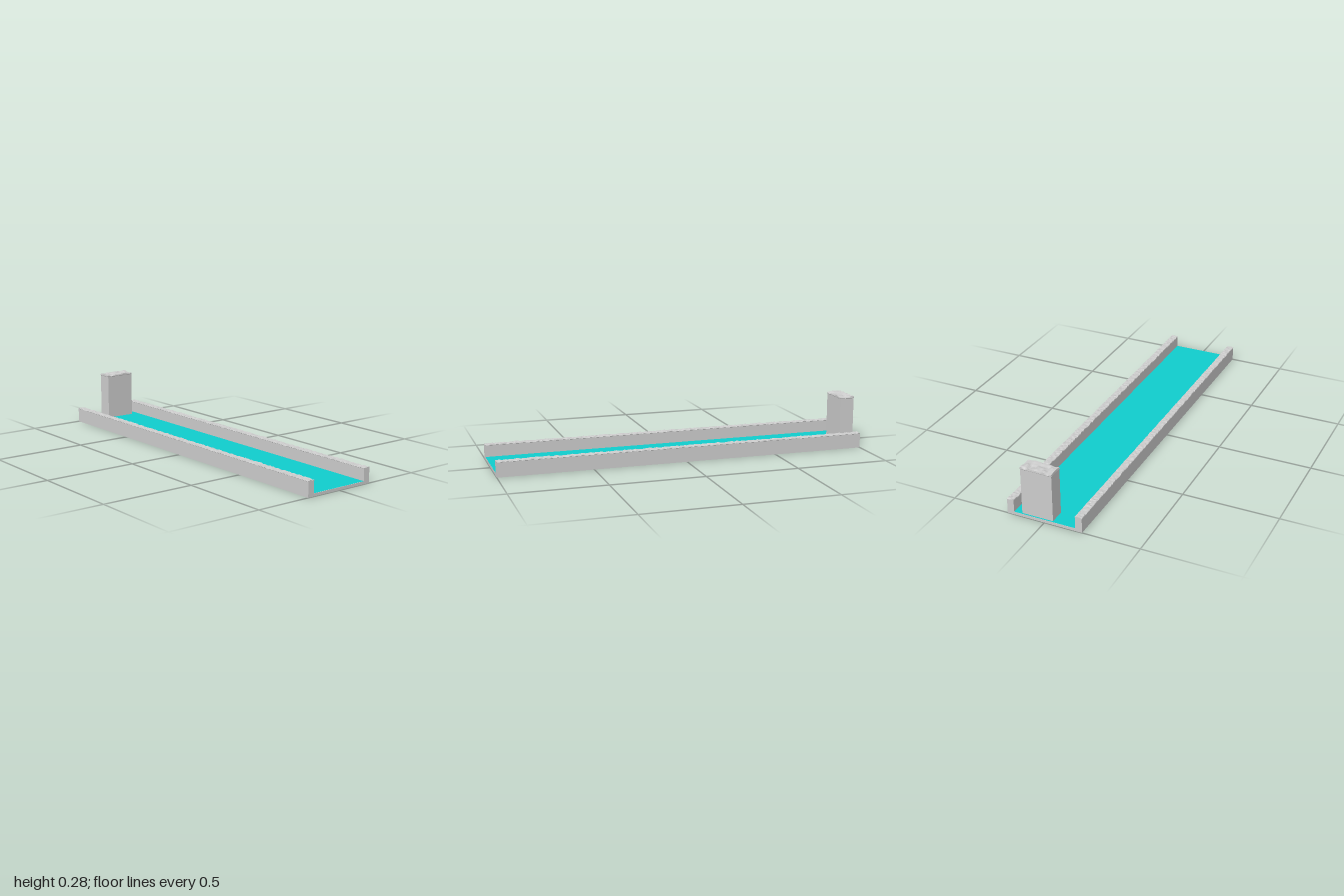
import * as THREE from 'three';

const grey = new THREE.MeshStandardMaterial({ color: 0xcccccc });
const stone = new THREE.MeshStandardMaterial({ color: 0xcccccc, flatShading: true });
const teal = new THREE.MeshStandardMaterial({ color: 0x10cccc });

// Smooth seeded value noise in 0..1
function hash(i, j) {
  const s = Math.sin(i * 127.1 + j * 311.7) * 43758.5453;
  return s - Math.floor(s);
}
function noise(x, z) {
  const i = Math.floor(x), j = Math.floor(z);
  const u = THREE.MathUtils.smoothstep(x - i, 0, 1);
  const v = THREE.MathUtils.smoothstep(z - j, 0, 1);
  const { lerp } = THREE.MathUtils;
  return lerp(lerp(hash(i, j), hash(i + 1, j), u), lerp(hash(i, j + 1), hash(i + 1, j + 1), u), v);
}

function box(name, w, h, d, x, y, z, material = grey) {
  const mesh = new THREE.Mesh(new THREE.BoxGeometry(w, h, d), material);
  mesh.name = name;
  mesh.position.set(x, y + h / 2, z);
  return mesh;
}

// Thin broken-stone cap: lumpy top, and sides that swell slightly outward
function roughCap(name, w, h, d, x, y, z, step, cell, bulge, bulgeZ = 0) {
  const g = new THREE.BoxGeometry(w, h, d, Math.round(w / step), 2, Math.round(d / step));
  const p = g.attributes.position;
  for (let i = 0; i < p.count; i++) {
    const px = p.getX(i), py = p.getY(i), pz = p.getZ(i);
    const n = noise((px + x) / cell + 50, (pz + z) / cell + 50);
    const level = py / h + 0.5;
    if (level > 0.9) p.setY(i, py - h * 0.75 * n);
    else if (level > 0.1) {
      p.setY(i, -h * 0.3);
      if (Math.abs(px) > w / 2 - 1e-5) p.setX(i, px + Math.sign(px) * bulge * (0.4 + 0.6 * n));
      if (Math.abs(pz) > d / 2 - 1e-5) p.setZ(i, pz + Math.sign(pz) * bulgeZ * n);
    }
  }
  g.computeVertexNormals();
  const mesh = new THREE.Mesh(g, stone);
  mesh.name = name;
  mesh.position.set(x, y + h / 2, z);
  return mesh;
}

export function createModel() {
  const model = new THREE.Group();
  model.name = 'walledChannel';

  // Floor slab with the coloured surface between the walls
  model.add(box('floorSlab', 0.4, 0.015, 2, 0, 0, 0));
  const surface = new THREE.Mesh(new THREE.PlaneGeometry(0.327, 2).rotateX(-Math.PI / 2), teal);
  surface.name = 'floorSurface';
  surface.position.y = 0.016;
  model.add(surface);

  // Side walls with rough tops
  for (const [side, s] of [['left', 1], ['right', -1]]) {
    model.add(box(side + 'Wall', 0.036, 0.062, 2, s * 0.182, 0.015, 0));
    model.add(roughCap(side + 'WallCap', 0.036, 0.007, 2, s * 0.182, 0.077, 0, 0.006, 0.011, 0.002));
  }

  // Standing block at the back, slightly off centre
  model.add(box('standingBlock', 0.166, 0.247, 0.08, 0.04, 0.015, -0.953));
  model.add(roughCap('standingBlockCap', 0.166, 0.015, 0.08, 0.04, 0.262, -0.953, 0.005, 0.02, 0.003, 0.003));
  return model;
}
